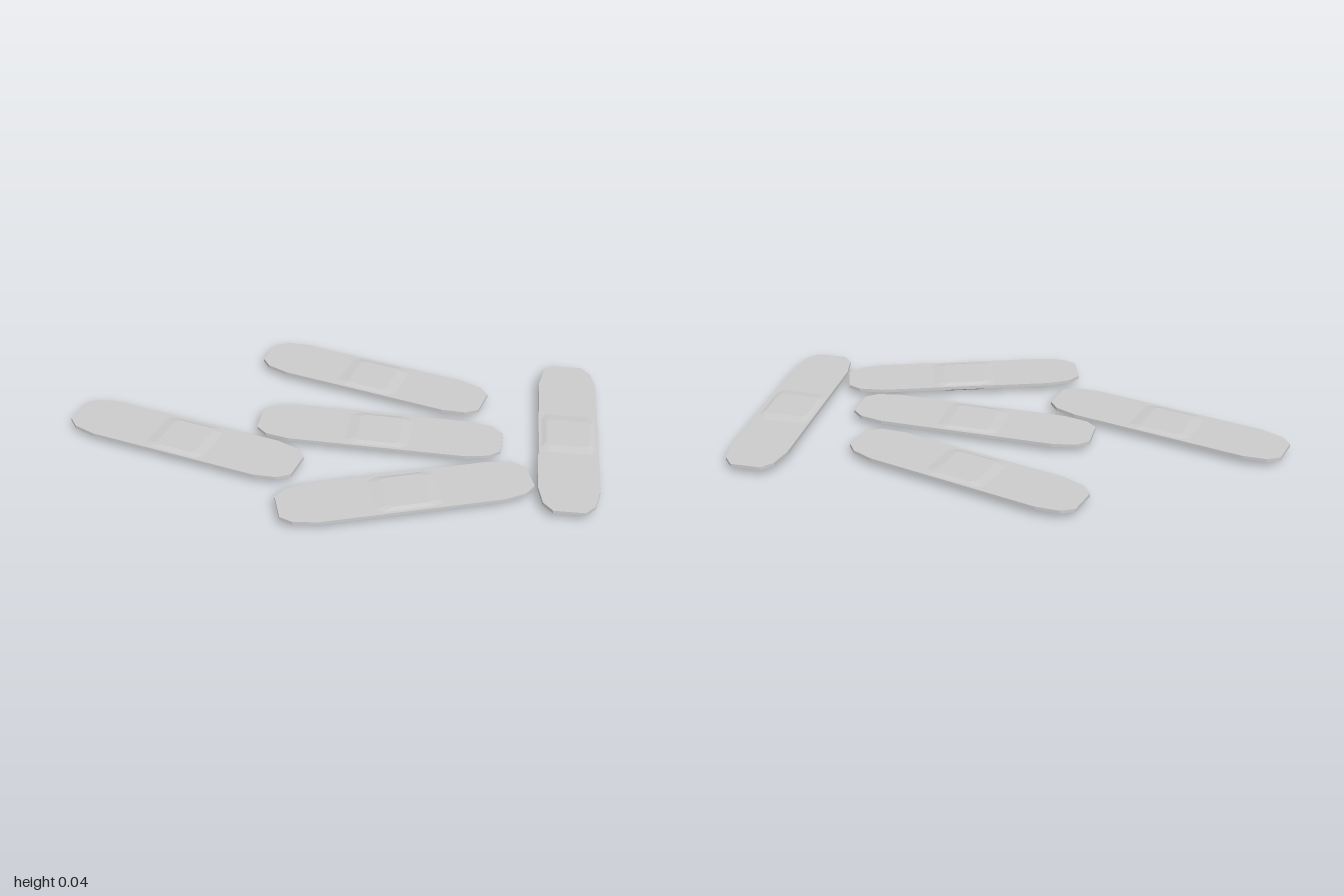
import * as THREE from 'three';

const material = new THREE.MeshStandardMaterial({ color: 0xcccccc, flatShading: true });

// Mirrors one quadrant of [x, z] corners (x end first) into a full outline
function mirrorOutline(quadrant) {
  const back = [...quadrant].reverse();
  return [
    ...quadrant,
    ...back.map(([x, z]) => [-x, z]),
    ...quadrant.map(([x, z]) => [-x, -z]),
    ...back.map(([x, z]) => [x, -z]),
  ];
}

// Rectangle outline with cut corners, given half sizes
const cutRect = (hx, hz, cutX, cutZ) => mirrorOutline([[hx, hz - cutZ], [hx - cutX, hz]]);

// Solid from outlines stacked upwards: layers = [[y, outline], ...]
function stack(name, layers) {
  const n = layers[0][1].length;
  const positions = [];
  const index = [];
  for (const [y, outline] of layers) {
    for (const [x, z] of outline) positions.push(x, y, z);
  }
  for (let l = 0; l < layers.length - 1; l++) {
    for (let i = 0; i < n; i++) {
      const a = l * n + i, b = l * n + (i + 1) % n;
      index.push(a, a + n, b, b, a + n, b + n);
    }
  }
  const top = (layers.length - 1) * n;
  for (let i = 1; i < n - 1; i++) {
    index.push(0, i, i + 1);
    index.push(top, top + i + 1, top + i);
  }
  const indexed = new THREE.BufferGeometry();
  indexed.setAttribute('position', new THREE.Float32BufferAttribute(positions, 3));
  indexed.setIndex(index);
  const geometry = indexed.toNonIndexed();
  geometry.computeVertexNormals();
  const mesh = new THREE.Mesh(geometry, material);
  mesh.name = name;
  return mesh;
}

function createBandage() {
  const bandage = new THREE.Group();

  // Long adhesive strip with rounded ends
  const strip = mirrorOutline([[0.45, 0.055], [0.41, 0.09], [0.325, 0.108]]);
  bandage.add(stack('adhesiveStrip', [[0.025, strip], [0.037, strip]]));

  // Absorbent pad tapering towards the underside
  bandage.add(stack('pad', [
    [0, cutRect(0.1, 0.065, 0.03, 0.02)],
    [0.015, cutRect(0.125, 0.085, 0.03, 0.025)],
    [0.026, cutRect(0.13, 0.1, 0.03, 0.03)],
  ]));

  // Shallow bulge above the pad
  bandage.add(stack('padBulge', [
    [0.036, cutRect(0.125, 0.1, 0.03, 0.02)],
    [0.042, cutRect(0.078, 0.08, 0.015, 0.012)],
  ]));
  return bandage;
}

export function createModel() {
  const model = new THREE.Group();
  model.name = 'bandages';

  // Scattered bandages: name, x, z, turn in degrees
  const placements = [
    ['frontBandage', 0.12, 0.4, 0],
    ['middleBandage', 0.107, 0.03, -20.5],
    ['backBandage', 0.157, -0.322, -34],
    ['rightBandage', -0.602, -0.06, -33],
    ['leftBandage', 0.782, 0.187, 72],
  ];
  for (const [name, x, z, turn] of placements) {
    const bandage = createBandage();
    bandage.name = name;
    bandage.position.set(x, 0, z);
    bandage.rotation.y = THREE.MathUtils.degToRad(turn);
    model.add(bandage);
  }
  return model;
}
